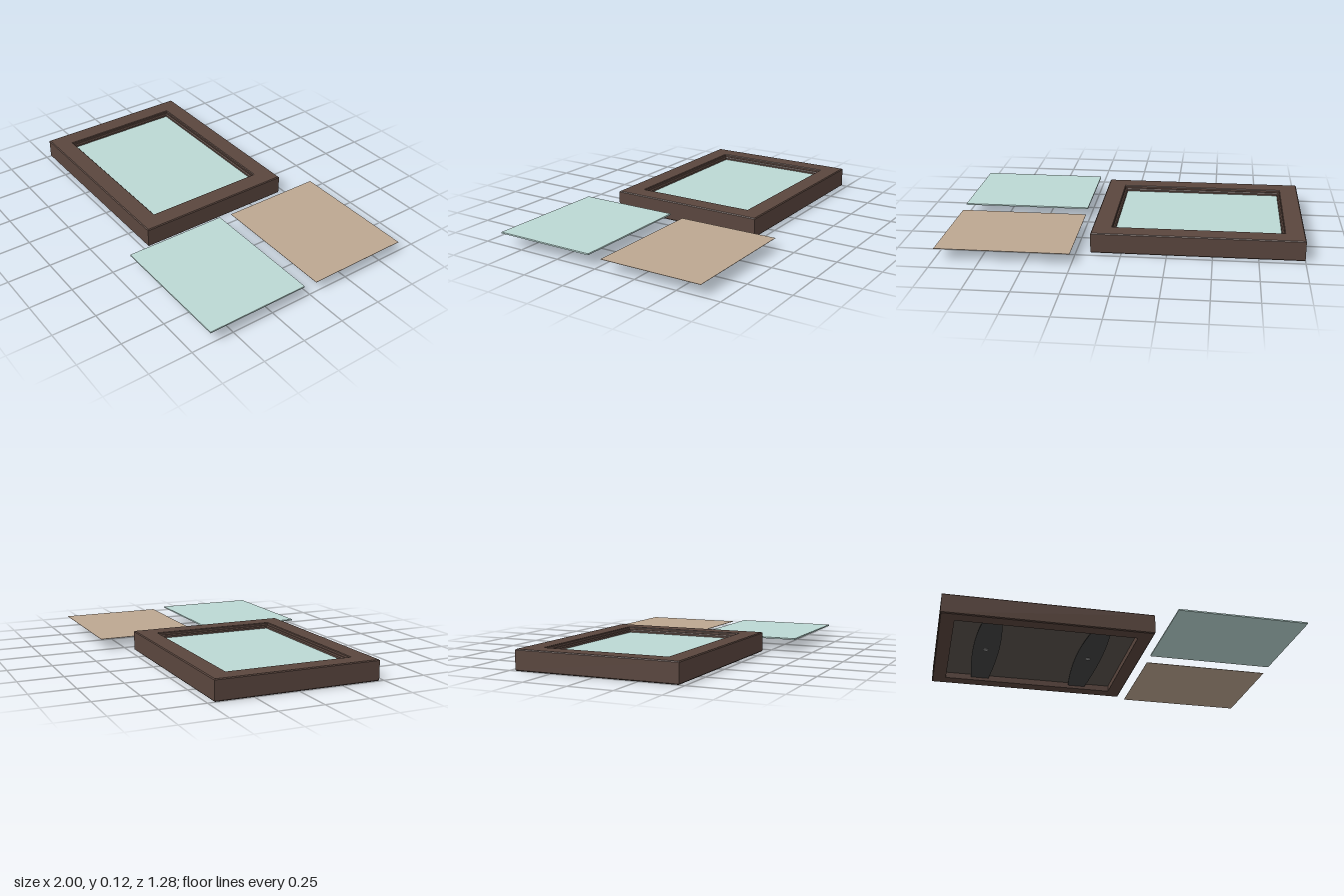
import * as THREE from 'three';

const CX = -0.415, CZ = 0.003;   // centre of the frame
const HX = 0.585, HZ = 0.467;    // half sizes of the frame

const mat = (color, extra = {}) => new THREE.MeshStandardMaterial({ color, ...extra });
const wood = mat(0x5a463e, { flatShading: true });
const glassMat = mat(0xbcd8d4);
const paperMat = mat(0xbda791);
const boardMat = mat(0x5a534d);
const springMat = mat(0x444444, { side: THREE.DoubleSide });
const metalMat = mat(0x999999);

function box(name, material, x0, x1, y0, y1, z0, z1) {
  const mesh = new THREE.Mesh(new THREE.BoxGeometry(x1 - x0, y1 - y0, z1 - z0), material);
  mesh.position.set((x0 + x1) / 2, (y0 + y1) / 2, (z0 + z1) / 2);
  mesh.name = name;
  return mesh;
}

// Sweeps a closed [inset, y] profile round a rectangle with mitred corners
function mitredFrame(profile) {
  const corners = [[-1, -1], [-1, 1], [1, 1], [1, -1]];
  const at = ([sx, sz], [inset, y]) => [sx * (HX - inset), y, sz * (HZ - inset)];
  const pos = [];
  corners.forEach((c, i) => {
    const d = corners[(i + 1) % 4];
    profile.forEach((p, j) => {
      const q = profile[(j + 1) % profile.length];
      const a = at(c, p), b = at(d, p), e = at(d, q), f = at(c, q);
      pos.push(...a, ...b, ...e, ...a, ...e, ...f);
    });
  });
  const g = new THREE.BufferGeometry();
  g.setAttribute('position', new THREE.Float32BufferAttribute(pos, 3));
  g.computeVertexNormals();
  return g;
}

// Bowed leaf spring: the middle presses on the board, the ends drop to the rim
function springGeometry(width, length) {
  const g = new THREE.BoxGeometry(width, 0.004, length, 1, 1, 16);
  const p = g.attributes.position;
  for (let i = 0; i < p.count; i++) {
    const t = p.getZ(i) / (length / 2);
    p.setY(i, p.getY(i) - 0.014 * t * t);
    p.setX(i, p.getX(i) * (1 - 0.3 * t * t));
  }
  g.computeVertexNormals();
  return g;
}

export function createModel() {
  const model = new THREE.Group();

  // Moulding: bevelled outside, stepped sight edge, rebate at the back
  const frame = new THREE.Mesh(mitredFrame([
    [0.005, 0], [0, 0.005], [0, 0.11], [0.005, 0.115],
    [0.106, 0.115], [0.11, 0.111], [0.11, 0.1], [0.117, 0.1],
    [0.123, 0.094], [0.123, 0.084], [0.08, 0.084], [0.08, 0],
  ]), wood);
  frame.name = 'frame';
  frame.position.set(CX, 0, CZ);
  model.add(frame);

  // Layers held in the rebate
  const layer = (name, m, y0, y1) =>
    box(name, m, CX - HX + 0.08, CX + HX - 0.08, y0, y1, CZ - HZ + 0.08, CZ + HZ - 0.08);
  model.add(
    layer('framedGlass', glassMat, 0.074, 0.084),
    layer('framedPrint', paperMat, 0.068, 0.072),
    layer('backingBoard', boardMat, 0.035, 0.066),
  );

  // Two springs with rivets across the back
  for (const side of [-1, 1]) {
    const spring = new THREE.Group();
    spring.name = side < 0 ? 'rightSpring' : 'leftSpring';
    const leaf = new THREE.Mesh(springGeometry(0.15, 0.76), springMat);
    leaf.name = 'springLeaf';
    const rivet = new THREE.Mesh(new THREE.CylinderGeometry(0.014, 0.014, 0.006, 16), metalMat);
    rivet.name = 'rivet';
    rivet.position.y = -0.004;
    spring.add(leaf, rivet);
    spring.position.set(CX + side * 0.3, 0.031, CZ);
    model.add(spring);
  }

  // Loose glass pane and backing sheet beside the frame
  model.add(
    box('looseGlass', glassMat, 0.256, 1, 0.067, 0.075, 0.04, 0.64),
    box('looseSheet', paperMat, 0.256, 1, 0.061, 0.063, -0.64, -0.04),
  );
  return model;
}
